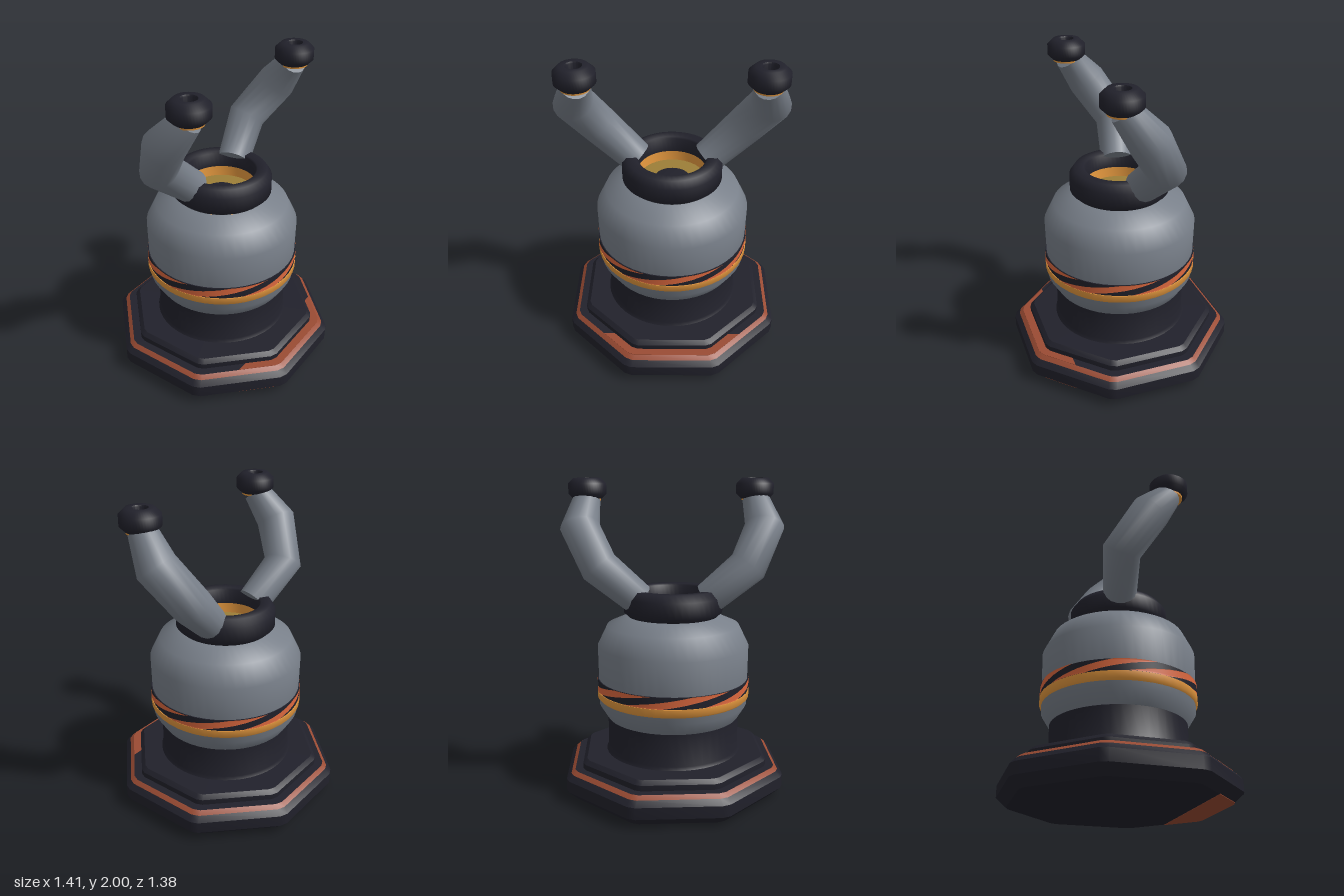
import * as THREE from 'three';
import { toCreasedNormals } from 'three/addons/utils/BufferGeometryUtils.js';

const paint = (name, hex) => {
  const m = new THREE.MeshStandardMaterial({ color: hex });
  m.name = name;
  return m;
};

export function createModel() {
  const dark = paint('charcoal', 0x21212b);
  const grey = paint('steel grey', 0x787f89);
  const dull = paint('dull grey', 0x626264);
  const amber = paint('amber', 0xf0a042);
  const gold = paint('dull gold', 0x9c7e38);
  const orange = paint('burnt orange', 0xdc683e);
  const rust = paint('rust', 0x9a4b33);

  const model = new THREE.Group();
  const add = (name, geometry, material, parent = model) => {
    const mesh = new THREE.Mesh(geometry, material);
    mesh.name = name;
    parent.add(mesh);
    return mesh;
  };

  const lathe = (profile, segments = 48) =>
    new THREE.LatheGeometry(profile.map(([r, y]) => new THREE.Vector2(r, y)), segments);
  const round = (profile, crease = 1) => toCreasedNormals(lathe(profile), crease);

  // Octagon with clipped corners; profile radii are distances to the flats
  const octagon = (profile) => {
    const geometry = lathe(profile, 16);
    const pos = geometry.attributes.position;
    const half = THREE.MathUtils.degToRad(20.5);
    for (let i = 0; i < pos.count; i++) {
      const column = Math.floor(i / profile.length);
      const apothem = profile[i % profile.length][0];
      const angle = Math.floor(column / 2) * Math.PI / 4 + (column % 2 ? half : -half);
      const r = apothem / Math.cos(half);
      pos.setXYZ(i, r * Math.sin(angle), pos.getY(i), r * Math.cos(angle));
    }
    return toCreasedNormals(geometry, 0.5);
  };

  // Octagonal base
  add('basePlinth', octagon([[0, 0.002], [0.63, 0.002], [0.69, 0.06], [0.69, 0.135], [0.66, 0.168]]), dark);
  add('baseTrim', octagon([[0.66, 0.168], [0.635, 0.19]]), rust);
  add('baseTop', octagon([[0.635, 0.19], [0, 0.19]]), dark);
  add('baseStep', octagon([[0.585, 0.19], [0.585, 0.225], [0.56, 0.25], [0, 0.25]]), dark);

  // Painted front edge of the base, above and below
  const edge = new THREE.Shape([[-0.448, 0.45], [0.448, 0.45], [0.281, 0.617], [0.237, 0.635],
    [-0.237, 0.635], [-0.281, 0.617]].map(([x, z]) => new THREE.Vector2(x, z)));
  const frontPlate = new THREE.ExtrudeGeometry(edge, { depth: 0.003, bevelEnabled: false });
  frontPlate.rotateX(Math.PI / 2);
  add('frontTrimTop', frontPlate, rust).position.y = 0.192;
  add('frontTrimBottom', frontPlate, rust).position.y = 0.003;

  // Pedestal and body
  add('pedestal', round([[0.44, 0.25], [0.428, 0.27], [0.428, 0.49]]), dark);
  add('body', round([[0.3, 0.48], [0.43, 0.48], [0.482, 0.565], [0.488, 0.95],
    [0.425, 1.08], [0.29, 1.14]]), grey);
  add('amberBand', round([[0.48, 0.602], [0.495, 0.617], [0.495, 0.66], [0.48, 0.662]]), amber);
  add('stripeBand', round([[0.48, 0.66], [0.491, 0.66], [0.491, 0.735], [0.48, 0.735]]), dark);

  // Slanted stripes wrapped round the band
  const stripeCount = 6, height = 0.074;
  const step = Math.PI * 2 / stripeCount;
  for (let i = 0; i < stripeCount; i++) {
    const stripe = new THREE.CylinderGeometry(0.494, 0.494, height, 10, 8, true, i * step - step / 4, step / 2);
    const pos = stripe.attributes.position;
    const v = new THREE.Vector3(), up = new THREE.Vector3(0, 1, 0);
    for (let k = 0; k < pos.count; k++) {
      v.fromBufferAttribute(pos, k);
      v.applyAxisAngle(up, 0.9 * v.y / height);
      pos.setXYZ(k, v.x, v.y, v.z);
    }
    stripe.computeVertexNormals();
    add('stripe', stripe, orange).position.y = 0.698;
  }

  // Collar with its recessed socket
  add('collar', round([[0.28, 1.135], [0.316, 1.165], [0.316, 1.265], [0.285, 1.31],
    [0.225, 1.31], [0.215, 1.3], [0.215, 1.205]]), dark);
  add('socketWall', round([[0.215, 1.205], [0.212, 1.14]]), amber);
  add('socketFloor', round([[0.213, 1.14], [0.11, 1.14]]), gold);
  add('socketCentre', round([[0.113, 1.14], [0.1, 1.145], [0, 1.145]]), dark);

  // Bent arms: a capped tube bent along a few joints
  const joints = [[0.222, 1.255, -0.06], [0.46, 1.465, -0.118], [0.583, 1.7, 0.03], [0.541, 1.875, 0.165]];
  const radii = [0.105, 0.122, 0.125, 0.085];
  const bentTube = (side) => {
    const path = joints.map(([x, y, z]) => new THREE.Vector3(side * x, y, z));
    const last = path.length - 1;
    const direction = new THREE.Vector3(0, 1, 0);
    const turn = new THREE.Quaternion();
    const frames = path.map((p, i) => {
      const a = path[Math.max(i - 1, 0)], b = path[Math.min(i + 1, last)];
      const next = b.clone().sub(a).normalize();
      turn.premultiply(new THREE.Quaternion().setFromUnitVectors(direction, next));
      direction.copy(next);
      return turn.clone();
    });
    const geometry = new THREE.CylinderGeometry(1, 1, 1, 16, last);
    const pos = geometry.attributes.position;
    const v = new THREE.Vector3();
    for (let k = 0; k < pos.count; k++) {
      v.fromBufferAttribute(pos, k);
      const i = Math.round((v.y + 0.5) * last);
      v.setY(0).multiplyScalar(radii[i]).applyQuaternion(frames[i]).add(path[i]);
      pos.setXYZ(k, v.x, v.y, v.z);
    }
    return toCreasedNormals(geometry, 1.1);
  };

  for (const side of [1, -1]) {
    const arm = new THREE.Group();
    arm.name = side > 0 ? 'leftArm' : 'rightArm';
    model.add(arm);
    add('armTube', bentTube(side), grey, arm);
    // Hollow tip with a thin amber ring beneath it
    const tip = new THREE.Group();
    tip.name = 'armTip';
    tip.position.set(side * 0.54, 0, 0.173);
    arm.add(tip);
    add('tipRing', round([[0, 1.858], [0.085, 1.858], [0.088, 1.875]]), amber, tip);
    add('tipCap', round([[0, 1.87], [0.09, 1.87], [0.121, 1.9], [0.121, 1.965],
      [0.085, 2], [0.05, 2], [0.045, 1.99], [0.045, 1.92]]), dark, tip);
    add('tipDisc', round([[0.046, 1.92], [0, 1.92]]), dull, tip);
  }
  return model;
}
